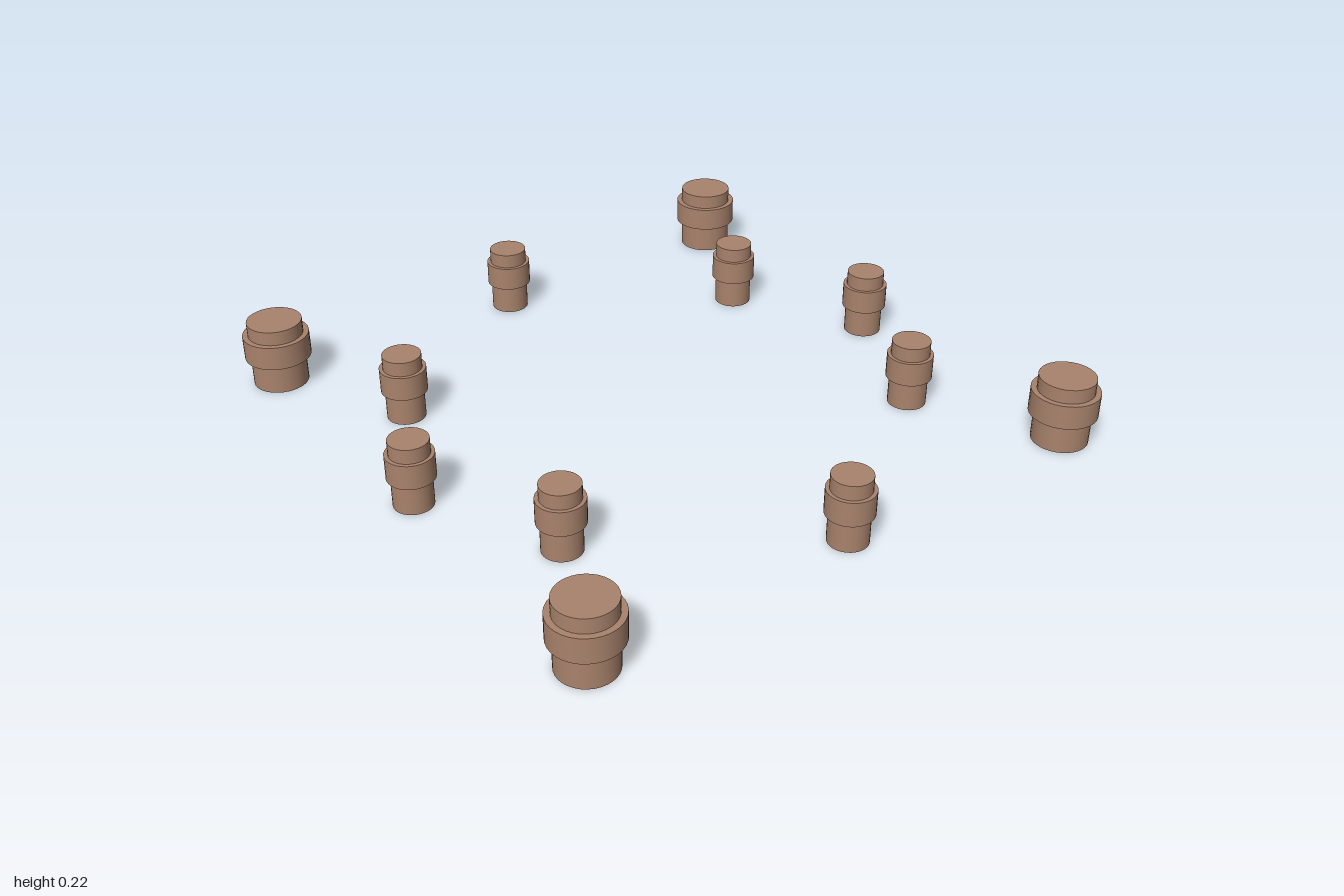
import * as THREE from 'three';

export function createModel() {
  const group = new THREE.Group();
  const clay = new THREE.MeshStandardMaterial({ color: 0xa9836c });
  clay.name = 'clay brown';

  // One post: a plain round shaft with a wider collar near the top
  function addPost(name, x, z, shaftRadius, collarRadius) {
    const post = new THREE.Group();
    post.name = name;
    const shaft = new THREE.Mesh(new THREE.CylinderGeometry(shaftRadius, shaftRadius, 0.223, 32), clay);
    shaft.name = 'shaft';
    shaft.position.y = 0.1115;
    const collar = new THREE.Mesh(new THREE.CylinderGeometry(collarRadius, collarRadius, 0.08, 32), clay);
    collar.name = 'collar';
    collar.position.y = 0.136;
    post.add(shaft, collar);
    post.position.set(x, 0, z);
    group.add(post);
  }

  const R = 0.893;
  for (const sx of [-1, 1]) {
    for (const sz of [-1, 1]) {
      // Thick posts at the corners, slim posts set in between them
      addPost('cornerPost', sx * R, sz * R, 0.089, 0.107);
      addPost('innerPost', sx * R / 2, sz * 0.67, 0.062, 0.074);
    }
    // Slim posts at the middle of each side
    addPost('sidePost', sx * R, 0, 0.062, 0.074);
    addPost('endPost', 0, sx * R, 0.062, 0.074);
  }
  return group;
}
